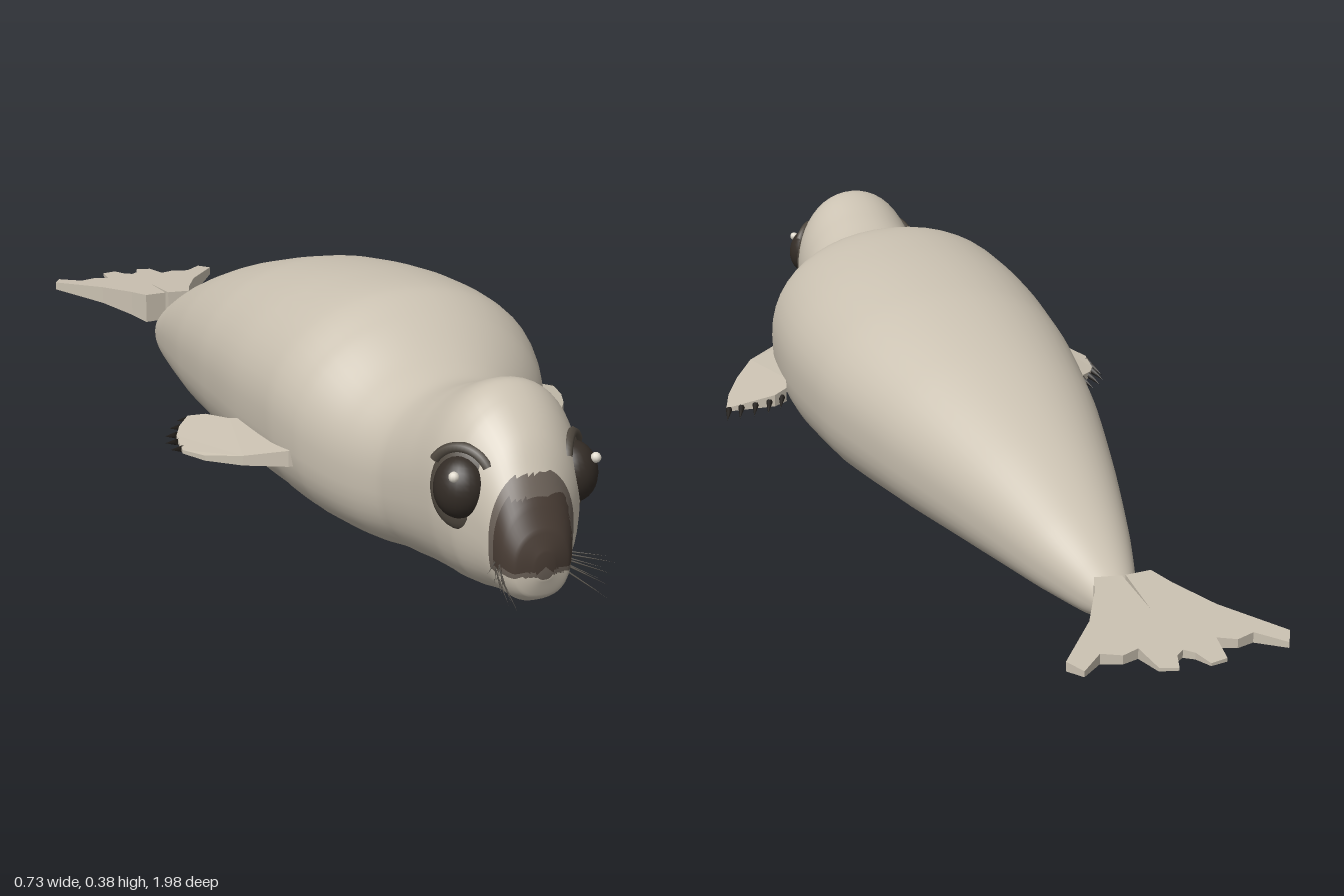
import * as THREE from 'three';

const mat = (name, color, side = THREE.FrontSide) => {
  const m = new THREE.MeshStandardMaterial({ color, side });
  m.name = name;
  return m;
};

export function createModel() {
  const fur = mat('paleFur', 0xcac1b1);
  const maskMat = mat('muzzleBrown', 0x6a6057);
  const noseMat = mat('noseBrown', 0x483c34);
  const lidMat = mat('lidBrown', 0x4f483f);
  const eyeMat = mat('eyeDark', 0x332c26);
  const clawMat = mat('clawBlack', 0x211d19);
  const whiskerMat = mat('whiskerGrey', 0x5a554e);
  const glintMat = mat('eyeGlint', 0xe0dacd);
  const group = new THREE.Group();
  const V = (x, y, z) => new THREE.Vector3(x, y, z);
  const add = (name, geometry, material, parent = group) => {
    const mesh = new THREE.Mesh(geometry, material);
    mesh.name = name;
    parent.add(mesh);
    return mesh;
  };

  // Body and head: cross-sections [z, right x, left x, bottom y, top y]
  const sections = [
    [-0.72, -0.072, -0.058, 0.05, 0.062], [-0.70, -0.09, -0.04, 0.035, 0.075],
    [-0.65, -0.115, -0.02, 0.018, 0.1], [-0.55, -0.145, 0.025, 0.012, 0.152],
    [-0.4, -0.18, 0.085, 0.009, 0.222], [-0.2, -0.22, 0.162, 0.006, 0.297],
    [0, -0.245, 0.222, 0.003, 0.35], [0.2, -0.255, 0.24, 0, 0.374],
    [0.34, -0.25, 0.23, 0, 0.376], [0.42, -0.235, 0.203, 0, 0.348],
    [0.51, -0.2, 0.145, 0.004, 0.302], [0.59, -0.167, 0.102, 0.014, 0.29],
    [0.67, -0.161, 0.09, 0.024, 0.313], [0.75, -0.157, 0.08, 0.03, 0.34],
    [0.8, -0.148, 0.063, 0.037, 0.32], [0.845, -0.13, 0.037, 0.046, 0.28],
    [0.875, -0.121, 0.012, 0.05, 0.238], [0.9, -0.115, -0.002, 0.054, 0.198],
    [0.918, -0.103, -0.016, 0.066, 0.165], [0.928, -0.075, -0.045, 0.095, 0.135],
  ];
  const centres = new THREE.CatmullRomCurve3(sections.map(([z, a, b, c, d]) => V((a + b) / 2, (c + d) / 2, z)));
  const halves = new THREE.CatmullRomCurve3(sections.map(([, a, b, c, d]) => V((b - a) / 2, (d - c) / 2, 0)));
  const rings = 152, sides = 48, pos = [];
  for (let i = 0; i <= rings; i++) {
    const c = centres.getPoint(i / rings), h = halves.getPoint(i / rings);
    for (let j = 0; j < sides; j++) {
      const a = j / sides * Math.PI * 2, s = Math.sin(a), k = Math.cos(a);
      const e = s < 0 ? 2 / 2.5 : 2 / 2.1; // flatter belly, rounder back
      pos.push(c.x + h.x * Math.sign(k) * Math.abs(k) ** e,
        Math.max(0, c.y + h.y * Math.sign(s) * Math.abs(s) ** e), c.z);
    }
  }
  const last = pos.length / 3;
  const c0 = centres.getPoint(0), c1 = centres.getPoint(1);
  pos.push(c0.x, c0.y, c0.z, c1.x, c1.y, c1.z + 0.002);
  // Faces are sorted into fur, mask and nose by where they lie
  const faces = [[], [], []];
  const tri = (...t) => {
    const [x, y, z] = [0, 1, 2].map(n => t.reduce((sum, i) => sum + pos[i * 3 + n], 0) / 3);
    const nose = z > 0.882 && y > 0.108 && y < 0.206 && Math.abs(x + 0.062) < 0.058;
    const mask = z > 0.872 && y > 0.1 && y < 0.235;
    faces[nose ? 2 : mask ? 1 : 0].push(...t);
  };
  for (let j = 0; j < sides; j++) {
    const k = (j + 1) % sides;
    for (let i = 0; i < rings; i++) {
      const p = i * sides, q = p + sides;
      tri(p + j, p + k, q + k);
      tri(p + j, q + k, q + j);
    }
    tri(last, k, j);
    tri(last + 1, rings * sides + j, rings * sides + k);
  }
  const body = new THREE.BufferGeometry();
  body.setAttribute('position', new THREE.Float32BufferAttribute(pos, 3));
  body.setIndex(faces.flat());
  let start = 0;
  faces.forEach((f, n) => { body.addGroup(start, f.length, n); start += f.length; });
  body.computeVertexNormals();
  add('bodyAndHead', body, [fur, maskMat, noseMat]);

  // Flat fin from an (x, z) outline; rule gives mid height and thickness
  const fin = (name, outline, rule) => {
    const shape = new THREE.Shape(outline.map(([x, z]) => new THREE.Vector2(x, -z)));
    const g = new THREE.ExtrudeGeometry(shape, { depth: 1, bevelEnabled: false, steps: 1 }).rotateX(-Math.PI / 2);
    const p = g.attributes.position;
    for (let i = 0; i < p.count; i++) {
      const [mid, thick] = rule(p.getX(i), p.getZ(i));
      p.setY(i, mid + (p.getY(i) - 0.5) * thick);
    }
    g.computeVertexNormals();
    return add(name, g, fur);
  };
  // Tapered spike between two points
  const spike = (name, from, to, radius, material, n = 6) => {
    const dir = to.clone().sub(from), len = dir.length();
    const m = add(name, new THREE.ConeGeometry(radius, len, n), material);
    m.position.copy(from).addScaledVector(dir, 0.5);
    m.quaternion.setFromUnitVectors(V(0, 1, 0), dir.normalize());
  };

  // Front flippers with five claws each
  const flipRule = x => {
    const t = THREE.MathUtils.clamp((Math.abs(x) - 0.22) / 0.14, 0, 1);
    return [0.135 - 0.022 * t, 0.03 - 0.024 * t];
  };
  fin('rightFlipper', [[-0.2, 0.41], [-0.24, 0.4], [-0.3, 0.355], [-0.345, 0.3], [-0.365, 0.25], [-0.36, 0.22],
    [-0.352, 0.18], [-0.335, 0.145], [-0.31, 0.115], [-0.285, 0.135], [-0.262, 0.19], [-0.2, 0.24]], flipRule);
  fin('leftFlipper', [[0.17, 0.41], [0.21, 0.395], [0.27, 0.355], [0.31, 0.29], [0.34, 0.225], [0.357, 0.165],
    [0.33, 0.16], [0.3, 0.155], [0.27, 0.15], [0.245, 0.165], [0.235, 0.21], [0.17, 0.24]], flipRule);
  const claws = (name, bases, dx, dz) => bases.forEach(([x, z]) => {
    const y = flipRule(x)[0];
    spike(name, V(x, y, z), V(x + dx, y - 0.01, z + dz), 0.006, clawMat);
  });
  claws('rightClaw', [[-0.36, 0.235], [-0.357, 0.2], [-0.348, 0.17], [-0.33, 0.14], [-0.308, 0.115]], -0.011, -0.03);
  claws('leftClaw', [[0.352, 0.165], [0.33, 0.16], [0.305, 0.155], [0.28, 0.152], [0.255, 0.16]], 0.01, -0.032);

  // Tail: two mirrored fan lobes about x = -0.066
  const lobe = [[0.003, -0.72], [0.046, -0.715], [0.062, -0.76], [0.1, -0.84], [0.172, -0.94], [0.156, -0.972],
    [0.118, -0.932], [0.088, -0.945], [0.06, -0.932], [0.052, -0.99], [0.024, -0.998], [0.014, -0.965],
    [0, -0.952], [0, -0.83]];
  const tailRule = (x, z) => {
    const t = (-z - 0.72) / 0.28;
    return [0.088 + 0.008 * t, 0.052 * (1 - t) + 0.004];
  };
  for (const [name, s] of [['leftTailLobe', 1], ['rightTailLobe', -1]])
    fin(name, lobe.map(([x, z]) => [-0.066 + s * x, z]), tailRule);

  // Eyes with dark surrounds, lids, brows and glints
  for (const [name, s] of [['right', -1], ['left', 1]]) {
    const cx = -0.046;
    const socket = new THREE.Group();
    socket.name = name + 'EyeGroup';
    socket.position.set(cx + s * 0.087, 0.205, 0.806);
    socket.lookAt(V(cx + s * 0.837, 0.33, 1.4));
    group.add(socket);
    const sphere = new THREE.SphereGeometry(1, 24, 16);
    add(name + 'EyeSurround', sphere, lidMat, socket).scale.set(0.05, 0.064, 0.018);
    const eye = add(name + 'Eye', sphere, eyeMat, socket);
    eye.scale.set(0.04, 0.046, 0.036);
    eye.position.z = 0.006;
    const brow = add(name + 'Brow', new THREE.TorusGeometry(0.05, 0.008, 6, 16, 2), lidMat, socket);
    brow.rotation.z = Math.PI / 2 - 1;
    brow.position.set(0, 0.007, 0.008);
    const glint = add(name + 'EyeGlint', new THREE.SphereGeometry(0.008, 10, 8), glintMat);
    glint.position.set(cx + s * 0.114, 0.231, 0.835);
  }

  // Whiskers fan forward from both sides of the muzzle
  for (const [name, s] of [['rightWhisker', -1], ['leftWhisker', 1]])
    for (let i = 0; i < 8; i++) {
      const row = i % 4, x = -0.061 + s * 0.048;
      spike(name, V(x, 0.092 + row * 0.007, 0.885 - (i > 3 ? 0.012 : 0)),
        V(x + s * (0.022 + 0.008 * row), 0.078 + row * 0.014, 0.985 - i * 0.007), 0.0016, whiskerMat, 4);
    }
  return group;
}
